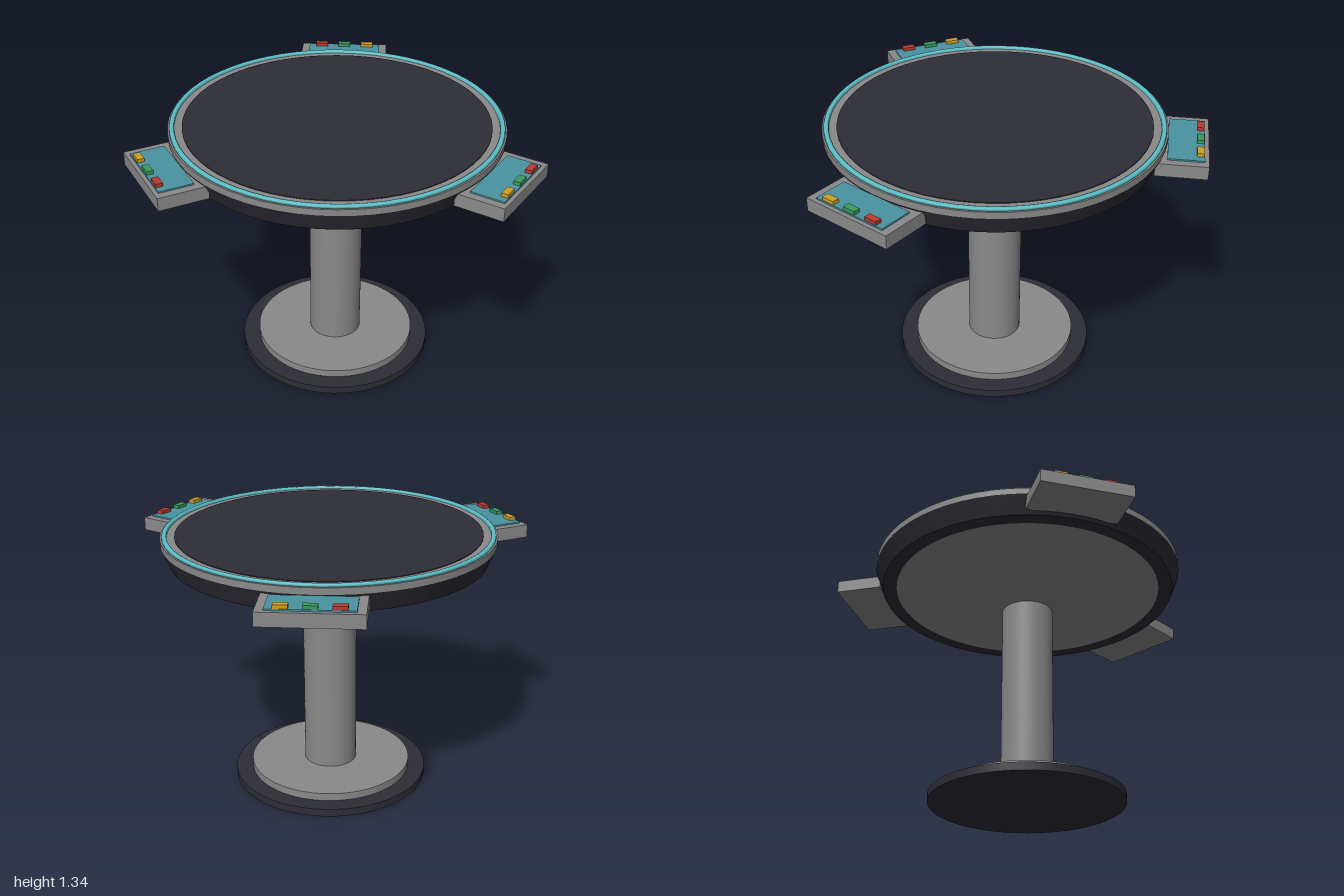
import * as THREE from 'three';

const mat = (name, color) => {
  const m = new THREE.MeshStandardMaterial({ color });
  m.name = name;
  return m;
};

export function createModel() {
  const grey = mat('grey metal', 0x8a8a8a);
  const dark = mat('dark surface', 0x2d2d36);
  const teal = mat('teal panel', 0x4a93a1);
  const glow = mat('bright teal trim', 0x5cc0c8);
  const red = mat('red button', 0xb83a32);
  const green = mat('green button', 0x3a9a5c);
  const yellow = mat('yellow button', 0xcf9f25);

  const model = new THREE.Group();
  model.name = 'consoleTable';
  const table = new THREE.Group();
  table.name = 'table';
  table.position.x = 0.09; // the three consoles balance the table around the origin
  model.add(table);

  const add = (parent, name, geometry, material, x = 0, y = 0, z = 0) => {
    const mesh = new THREE.Mesh(geometry, material);
    mesh.name = name;
    mesh.position.set(x, y, z);
    parent.add(mesh);
    return mesh;
  };
  // Upright drum between heights y0 and y1
  const drum = (name, rBottom, rTop, y0, y1, material) =>
    add(table, name, new THREE.CylinderGeometry(rTop, rBottom, y1 - y0, 64), material, 0, (y0 + y1) / 2);

  // Pedestal
  drum('basePlate', 0.5, 0.5, 0, 0.04, dark);
  drum('baseStep', 0.415, 0.415, 0.04, 0.08, grey);
  drum('column', 0.135, 0.135, 0.08, 1.09, grey);

  // Shallow dish under the top
  const dish = [[0, 1.085], [0.305, 1.085], [0.49, 1.145], [0.74, 1.207]]
    .map(([r, y]) => new THREE.Vector2(r, y));
  add(table, 'supportDish', new THREE.LatheGeometry(dish, 64), grey);

  // Round top: tapered body, rim, trim ring and screen
  drum('topBody', 0.785, 0.825, 1.2, 1.295, dark);
  drum('topRim', 0.825, 0.825, 1.295, 1.327, grey);
  drum('screen', 0.755, 0.755, 1.325, 1.331, dark);
  const ring = [[0.792, 1.325], [0.817, 1.325], [0.815, 1.337], [0.809, 1.34], [0.799, 1.34], [0.793, 1.337], [0.792, 1.325]]
    .map(([r, y]) => new THREE.Vector2(r, y));
  add(table, 'trimRing', new THREE.LatheGeometry(ring, 64), glow);

  // Consoles: local +x points outwards
  for (const angle of [Math.PI, Math.PI / 3, -Math.PI / 3]) {
    const unit = new THREE.Group();
    unit.name = 'console';
    unit.rotation.y = angle;
    table.add(unit);
    add(unit, 'consoleBody', new THREE.BoxGeometry(0.245, 0.066, 0.47), grey, 0.8925, 1.252);
    add(unit, 'consolePanel', new THREE.BoxGeometry(0.17, 0.009, 0.39), teal, 0.91, 1.288);
    [red, green, yellow].forEach((m, i) =>
      add(unit, 'button', new THREE.BoxGeometry(0.034, 0.02, 0.065), m, 0.975, 1.3, (i - 1) * 0.125));
  }
  return model;
}
